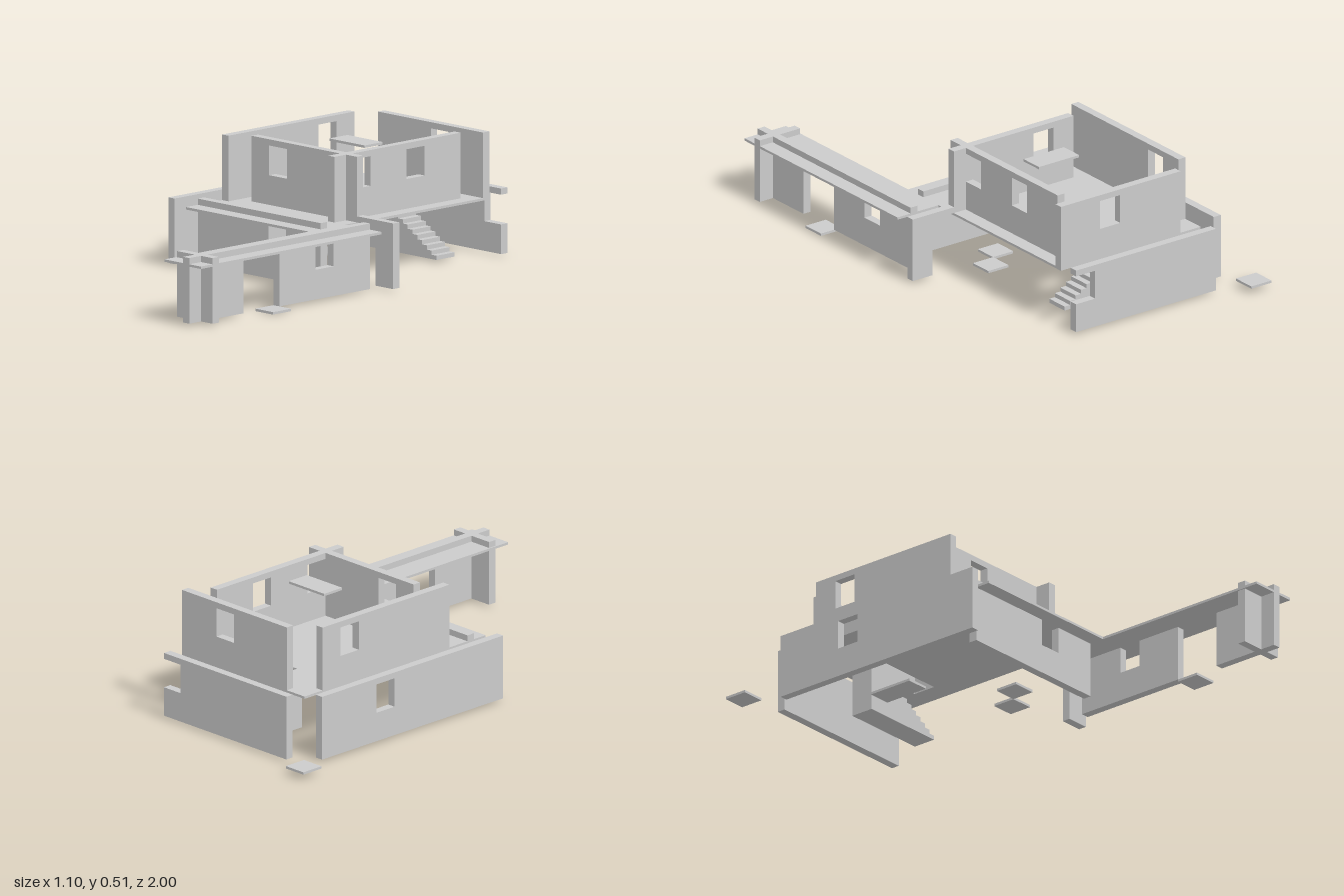
import * as THREE from 'three';

const T = 0.035; // wall thickness
const H = 0.265; // wall height
const G = 0.01, U = 0.25; // base of the ground and upper storeys
const SILL = 0.12, HEAD = 0.24; // window heights above the wall base

export function createModel() {
  const model = new THREE.Group();
  const material = new THREE.MeshStandardMaterial({ color: 0xcccccc, flatShading: true });

  const add = (name, geometry) => {
    const mesh = new THREE.Mesh(geometry, material);
    mesh.name = name;
    model.add(mesh);
    return mesh;
  };

  // box given by its limits
  const box = (name, x0, x1, y0, y1, z0, z1) => {
    const g = new THREE.BoxGeometry(x1 - x0, y1 - y0, z1 - z0);
    g.translate((x0 + x1) / 2, (y0 + y1) / 2, (z0 + z1) / 2);
    return add(name, g);
  };

  const rect = (Type, a0, a1, b0, b1) => new Type([
    new THREE.Vector2(a0, b0), new THREE.Vector2(a1, b0),
    new THREE.Vector2(a1, b1), new THREE.Vector2(a0, b1),
  ]);

  // wall along x with openings [from, to, sill], back face at z
  const wallX = (name, x0, x1, base, z, openings = []) => {
    const s = rect(THREE.Shape, x0, x1, base, base + H);
    for (const [a, b, sill = SILL] of openings)
      s.holes.push(rect(THREE.Path, a, b, base + sill, base + HEAD));
    const g = new THREE.ExtrudeGeometry(s, { depth: T, bevelEnabled: false });
    g.translate(0, 0, z);
    return add(name, g);
  };

  // wall along z with openings, lower x face at x
  const wallZ = (name, z0, z1, base, x, openings = []) => {
    const flipped = openings.map(([a, b, sill]) => [-b, -a, sill]);
    const wall = wallX(name, -z1, -z0, base, 0, flipped);
    wall.geometry.rotateY(Math.PI / 2).translate(x, 0, 0);
    return wall;
  };

  // ground storey walls
  wallZ('groundSideWall', -0.8, 0.2, G, -0.45, [[-0.5, -0.4]]);
  wallX('groundFrontWall', -0.35, 0.345, G, 0.1, [[0.05, 0.15]]);

  // rear wall with a window open at its end
  const rear = new THREE.Shape([
    [-0.35, G], [0.345, G], [0.345, G + SILL], [0.25, G + SILL],
    [0.25, G + HEAD], [0.345, G + HEAD], [0.345, G + H], [-0.35, G + H],
  ].map(([x, y]) => new THREE.Vector2(x, y)));
  add('groundRearWall', new THREE.ExtrudeGeometry(rear, { depth: T, bevelEnabled: false })
    .translate(0, 0, -0.9));

  // side entrance wall and its lintel
  wallX('entranceWall', 0.45, 0.55, G, -0.1);
  box('entranceLintel', 0.345, 0.45, G + HEAD, G + H, -0.1, -0.1 + T);

  // long wing: wall in pieces around the doorway, lintel, end wall, roof
  wallZ('wingWall', 0, 0.5, G, 0.45, [[0.2, 0.3]]);
  wallZ('wingEndPier', 0.7, 1, G, 0.45);
  box('wingLintel', 0.45, 0.45 + T, G + HEAD, G + H, 0.5, 0.7);
  wallX('wingEndWall', 0.35, 0.55, G, 0.9);
  box('wingRoof', 0.345, 0.55, 0.24, 0.25, 0, 1);

  // upper floor with the stair opening
  const floor = rect(THREE.Shape, -0.35, 0.345, -0.2, 0.8);
  floor.holes.push(rect(THREE.Path, -0.13, 0.25, 0.6, 0.7));
  add('upperFloor', new THREE.ExtrudeGeometry(floor, { depth: 0.01, bevelEnabled: false })
    .rotateX(-Math.PI / 2).translate(0, 0.24, 0));

  // upper storey walls
  wallX('upperRearWall', -0.25, 0.345, U, -0.8, [[0.05, 0.15]]);
  wallX('upperFrontWall', -0.25, 0.345, U, -0.1, [[-0.15, -0.05]]);
  wallZ('upperRightWall', -0.7, 0, U, -0.35, [[-0.6, -0.5]]);
  wallZ('upperLeftWall', -0.7, 0, U, 0.25, [[-0.5, -0.4], [-0.2, -0.1]]);

  // staircase rising toward -x
  const steps = 14, run = 0.38 / steps, rise = 0.24 / steps;
  const stair = new THREE.Shape();
  stair.moveTo(-0.13, G);
  stair.lineTo(0.25, G);
  for (let i = 0; i < steps; i++) {
    stair.lineTo(0.25 - i * run, G + (i + 1) * rise);
    stair.lineTo(0.25 - (i + 1) * run, G + (i + 1) * rise);
  }
  add('staircase', new THREE.ExtrudeGeometry(stair, { depth: 0.1, bevelEnabled: false })
    .translate(0, 0, -0.7));

  // loose slabs
  box('roofPanel', -0.05, 0.15, 0.49, 0.5, -0.4, -0.3);
  box('outerSlab', -0.55, -0.45, 0.025, 0.035, -1, -0.9);
  box('doorstep', 0.45, 0.55, 0, 0.01, 0.5, 0.6);
  box('floorPad', -0.25, -0.15, 0, 0.01, -0.5, -0.3);
  box('floorPad', 0.15, 0.25, 0, 0.01, -0.2, -0.1);
  box('floorPad', 0.05, 0.15, 0, 0.01, -0.1, 0);

  return model;
}
